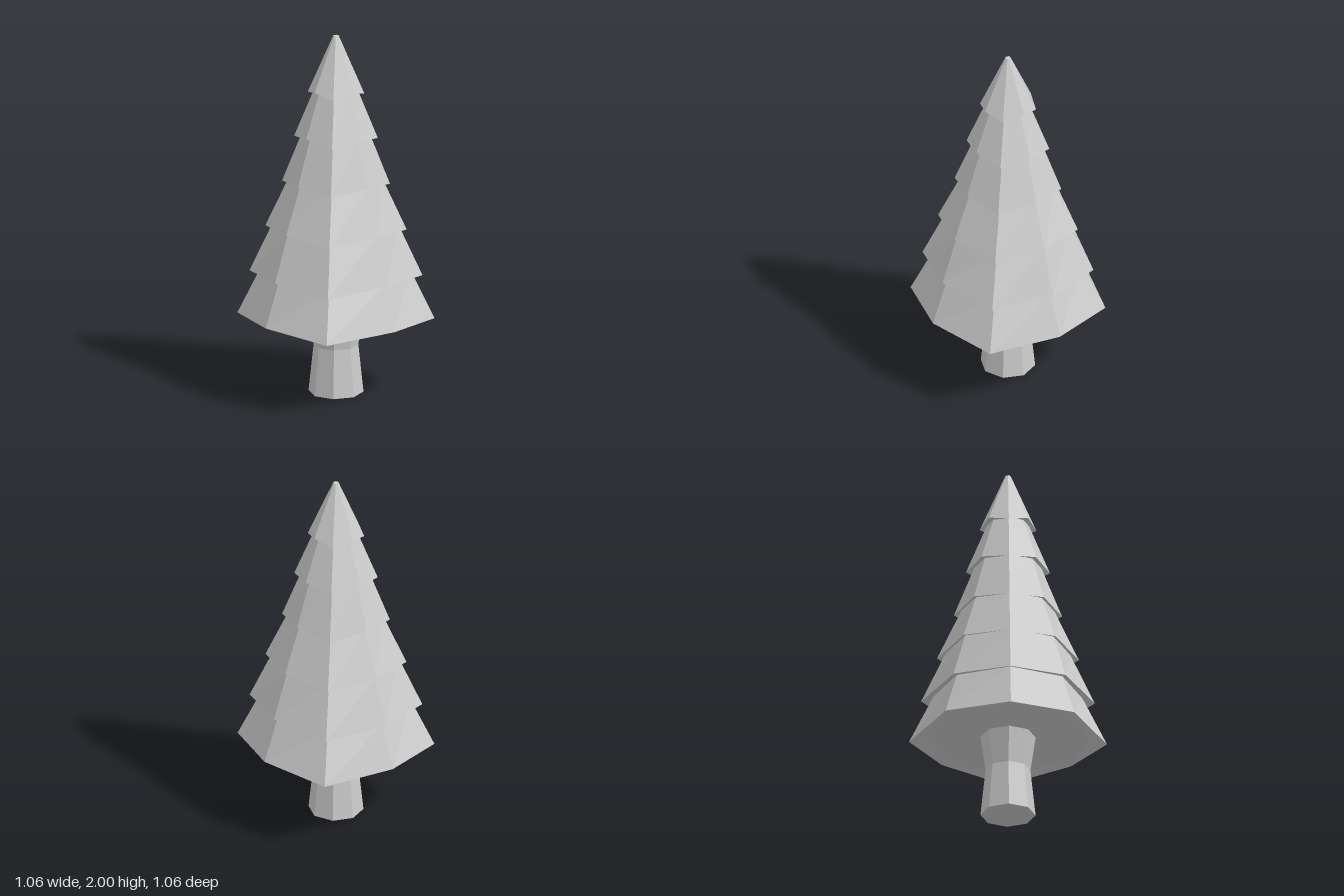
import * as THREE from 'three';

const SIDES = 8;
const material = new THREE.MeshStandardMaterial({ color: 0xcccccc, flatShading: true });

// An octagonal ring: r on the axes, d is the x and z of the diagonal corners, which may sit higher by lift.
const ring = (r, y, d = r * Math.SQRT1_2, lift = 0) => ({ r, y, diagonal: d * Math.SQRT2, lift });

// Joins rings from the bottom up into a faceted skin.
function loft(name, rings) {
  const positions = [];
  const corner = (g, j) => {
    const odd = j % 2 === 1;
    const a = ((j % SIDES) / SIDES) * Math.PI * 2;
    const r = odd ? g.diagonal : g.r;
    return [r * Math.sin(a), g.y + (odd ? g.lift : 0), r * Math.cos(a)];
  };
  for (let i = 0; i < rings.length - 1; i++) {
    const low = rings[i], high = rings[i + 1];
    for (let j = 0; j < SIDES; j++) {
      const a = corner(low, j), b = corner(low, j + 1);
      const c = corner(high, j + 1), d = corner(high, j);
      if (low.r > 0) positions.push(...a, ...b, ...c);
      else positions.push(...a, ...c, ...d);
      if (low.r > 0 && high.r > 0) positions.push(...a, ...c, ...d);
    }
  }
  const geometry = new THREE.BufferGeometry();
  geometry.setAttribute('position', new THREE.Float32BufferAttribute(positions, 3));
  geometry.computeVertexNormals();
  const mesh = new THREE.Mesh(geometry, material);
  mesh.name = name;
  return mesh;
}

export function createModel() {
  const tree = new THREE.Group();
  tree.name = 'pineTree';

  // Trunk with a narrow waist
  tree.add(loft('trunk', [
    ring(0, 0), ring(0.148, 0), ring(0.12, 0.265), ring(0.148, 0.46),
  ]));

  // Skirts of foliage: rim radius, rim height, rim diagonal, top radius
  const tiers = [
    [0.53, 0.425, 0.345, 0.4],
    [0.465, 0.665, 0.3, 0.335],
    [0.38, 0.92, 0.245, 0.25],
    [0.29, 1.175, 0.187, 0.18],
    [0.225, 1.43, 0.146, 0.113],
    [0.152, 1.68, 0.105, 0.015],
  ];
  let inner = ring(0.44, 0.46);
  tiers.forEach(([r, y, d, topR], i) => {
    const last = i === tiers.length - 1;
    const top = ring(topR, last ? 2 : tiers[i + 1][1] + 0.027);
    const rings = [inner, ring(r, y, d, 0.027), top];
    if (i === 0) rings.unshift(ring(0, 0.46)); // closed underside
    if (last) rings.push(ring(0, 2)); // blunt tip
    tree.add(loft(`foliageTier${i + 1}`, rings));
    inner = top;
  });

  return tree;
}
